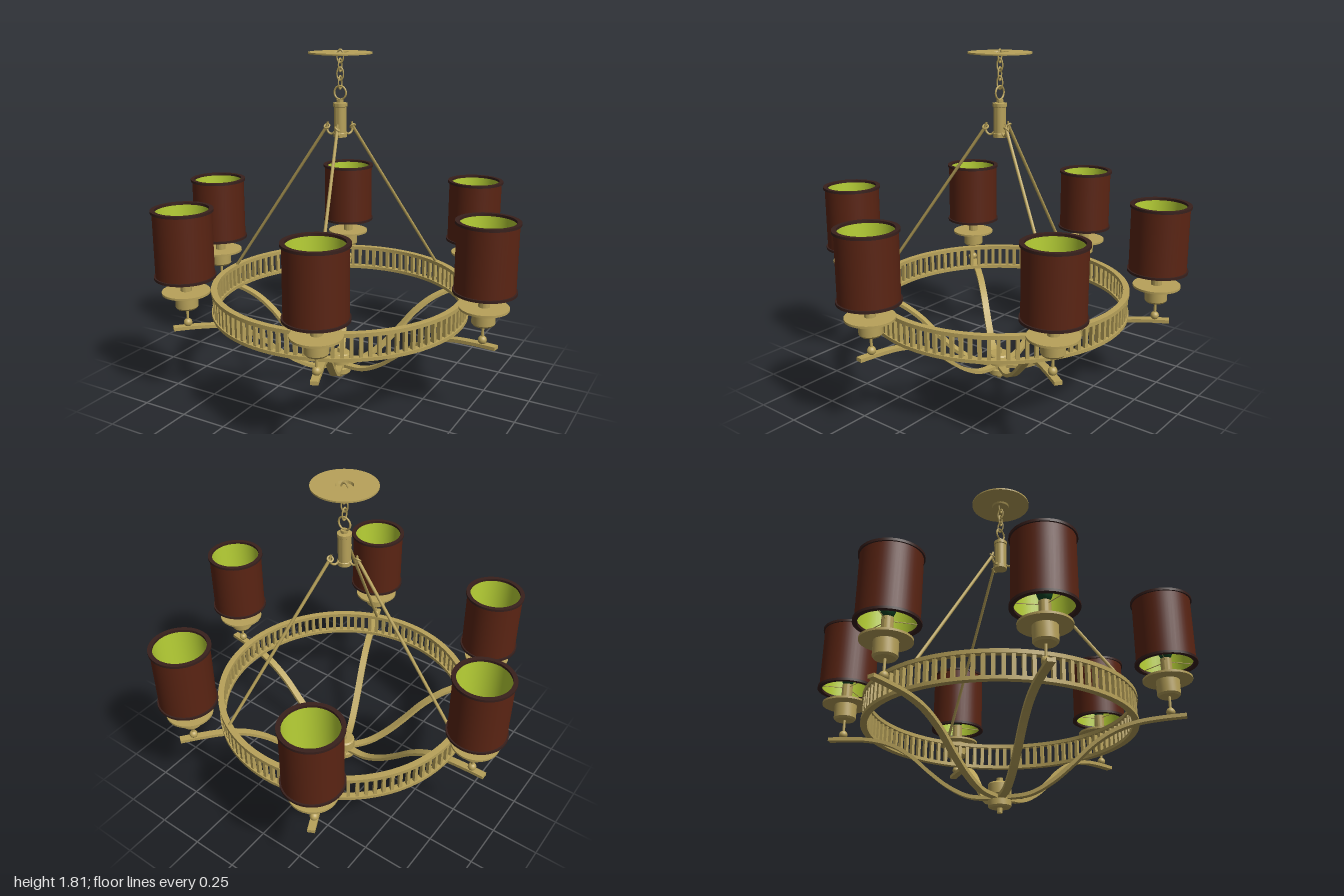
import * as THREE from 'three';
import { mergeGeometries, toCreasedNormals } from 'three/addons/utils/BufferGeometryUtils.js';

const mat = (color, side = THREE.FrontSide) => new THREE.MeshStandardMaterial({ color, side });
const V2 = (p) => new THREE.Vector2(p[0], p[1]);
const V3 = (p) => new THREE.Vector3(p[0], p[1], p[2] || 0);

export function createModel() {
  const gold = mat(0xb8a25a);
  const shadeRed = mat(0x5a2413);
  const shadeLining = mat(0xb9d236, THREE.BackSide);
  const trimBrown = mat(0x38201c);
  const bulbGreen = mat(0x0f4424);

  const model = new THREE.Group();
  model.name = 'chandelier';
  const body = new THREE.Group();
  body.name = 'body';
  body.position.set(-0.017, 0, -0.024);
  model.add(body);

  const add = (parent, name, geometry, material = gold) => {
    const mesh = new THREE.Mesh(geometry, material);
    mesh.name = name;
    parent.add(mesh);
    return mesh;
  };
  // turned part from a bottom-to-top profile of [radius, y]
  const turned = (points, segments = 32) =>
    toCreasedNormals(new THREE.LatheGeometry(points.map(V2), segments), 0.6);
  // rectangular-section hoop
  const hoop = (inner, outer, y0, y1, segments = 96) =>
    turned([[inner, y0], [outer, y0], [outer, y1], [inner, y1], [inner, y0]], segments);
  const tube = (points, radius, segments = 12) =>
    new THREE.TubeGeometry(new THREE.CatmullRomCurve3(points.map(V3)), segments, radius, 8);

  // central hub with small finials
  add(body, 'hub', turned([
    [0, 0.005], [0.014, 0.005], [0.014, 0.03], [0.05, 0.03], [0.058, 0.038], [0.058, 0.066],
    [0.045, 0.07], [0.045, 0.09], [0.058, 0.094], [0.058, 0.145], [0.05, 0.153],
    [0.016, 0.153], [0.016, 0.178], [0, 0.178],
  ]));

  // openwork ring: two rails joined by upright bars
  add(body, 'ringTopRail', hoop(0.665, 0.698, 0.543, 0.563));
  add(body, 'ringBottomRail', hoop(0.665, 0.698, 0.42, 0.438));
  const bars = [];
  for (let i = 0; i < 96; i++) {
    const bar = new THREE.BoxGeometry(0.018, 0.108, 0.02);
    bar.translate(0, 0.491, 0.682);
    bar.rotateY((i / 96) * Math.PI * 2);
    bars.push(bar);
  }
  add(body, 'ringBars', mergeGeometries(bars));

  // flat S-curved arm, swept along +x
  const armGeometry = (reach) => {
    const k = reach / 0.935;
    const path = new THREE.CatmullRomCurve3([
      [0.035, 0.08], [0.155, 0.092], [0.265, 0.145], [0.37, 0.225], [0.475, 0.315],
      [0.585, 0.378], [0.70, 0.41], [0.82, 0.422], [0.935, 0.426],
    ].map(([r, y]) => new THREE.Vector3(r * k, y, 0)));
    const upper = [], lower = [];
    for (let i = 0; i <= 40; i++) {
      const p = path.getPoint(i / 40), t = path.getTangent(i / 40);
      upper.push(new THREE.Vector2(p.x - t.y * 0.009, p.y + t.x * 0.009));
      lower.push(new THREE.Vector2(p.x + t.y * 0.009, p.y - t.x * 0.009));
    }
    const g = new THREE.ExtrudeGeometry(new THREE.Shape([...lower, ...upper.reverse()]),
      { depth: 0.038, bevelEnabled: false });
    g.translate(0, 0, -0.019);
    return toCreasedNormals(g, 0.6);
  };

  // shared lamp geometry
  const holder = turned([
    [0, 0.53], [0.05, 0.53], [0.058, 0.54], [0.058, 0.613], [0.123, 0.613], [0.123, 0.624],
    [0.028, 0.624], [0.028, 0.73], [0, 0.73],
  ]);
  const stem = new THREE.CylinderGeometry(0.007, 0.007, 0.1, 12);
  const ball = new THREE.SphereGeometry(0.022, 20, 14);
  const shadeOuter = new THREE.CylinderGeometry(0.148, 0.148, 0.345, 48, 1, true);
  const shadeInner = new THREE.CylinderGeometry(0.138, 0.138, 0.345, 48, 1, true);
  const trimLow = hoop(0.134, 0.156, 0.698, 0.711, 48);
  const trimHigh = hoop(0.134, 0.156, 1.04, 1.053, 48);
  const bulb = new THREE.SphereGeometry(0.038, 20, 16);
  bulb.scale(1, 1.6, 1);

  const lamps = [
    [0.837, 0.08], [0.305, 0.765], [-0.56, 0.61], [-0.842, -0.043], [-0.38, -0.775], [0.485, -0.715],
  ];
  lamps.forEach(([x, z]) => {
    const dx = x - body.position.x, dz = z - body.position.z;
    const angle = -Math.atan2(dz, dx);
    add(body, 'arm', armGeometry(Math.hypot(dx, dz) + 0.075)).rotation.y = angle;

    const lamp = new THREE.Group();
    lamp.name = 'lamp';
    lamp.position.set(x, 0, z);
    lamp.rotation.y = angle;
    model.add(lamp);
    add(lamp, 'lampBall', ball).position.y = 0.45;
    add(lamp, 'lampStem', stem).position.y = 0.49;
    add(lamp, 'lampHolder', holder);
    add(lamp, 'bulb', bulb, bulbGreen).position.y = 0.785;
    add(lamp, 'shade', shadeOuter, shadeRed).position.y = 0.875;
    add(lamp, 'shadeLining', shadeInner, shadeLining).position.y = 0.875;
    add(lamp, 'shadeBottomTrim', trimLow, trimBrown);
    add(lamp, 'shadeTopTrim', trimHigh, trimBrown);
    // three wires carrying the shade
    for (let i = 0; i < 3; i++) {
      const wire = new THREE.CylinderGeometry(0.002, 0.002, 0.12, 6);
      wire.rotateZ(Math.PI / 2);
      wire.translate(0.08, 0.715, 0);
      add(lamp, 'shadeWire', wire).rotation.y = 0.4 + (i * Math.PI * 2) / 3;
    }
  });

  // hanger body
  add(body, 'hanger', turned([
    [0, 1.365], [0.036, 1.365], [0.036, 1.385], [0.033, 1.388], [0.033, 1.52], [0.037, 1.523],
    [0.037, 1.54], [0.018, 1.543], [0.018, 1.558], [0, 1.558],
  ]));

  // three sloping rods hooked to the hanger
  [-63, 71.4, 178].forEach((degrees) => {
    const stay = new THREE.Group();
    stay.name = 'stay';
    stay.rotation.y = -THREE.MathUtils.degToRad(degrees);
    body.add(stay);
    add(stay, 'rod', tube([[0.078, 1.415], [0.682, 0.555]], 0.0085, 2));
    add(stay, 'hook', tube([[0.03, 1.39], [0.05, 1.376], [0.07, 1.385], [0.078, 1.41], [0.072, 1.44]], 0.006));
    const eye = add(stay, 'rodEye', new THREE.TorusGeometry(0.014, 0.005, 8, 20));
    eye.position.set(0.078, 1.415, 0);
    eye.rotation.x = Math.PI / 4;
  });

  // hanging ring and chain
  add(body, 'hangingRing', new THREE.TorusGeometry(0.034, 0.005, 10, 36)).position.y = 1.592;
  const link = new THREE.TorusGeometry(0.018, 0.0038, 8, 24);
  link.scale(1, 1.75, 1);
  for (let i = 0; i < 4; i++) {
    const mesh = add(body, 'chainLink', link);
    mesh.position.y = 1.643 + i * 0.044;
    mesh.rotation.y = i % 2 ? 0.15 : Math.PI / 2;
  }

  // ceiling plate with a shallow central recess
  add(body, 'ceilingPlate', turned([
    [0, 1.778], [0.044, 1.778], [0.048, 1.788], [0.163, 1.788], [0.163, 1.796],
    [0.044, 1.796], [0.04, 1.783], [0, 1.783],
  ], 48));

  return model;
}
